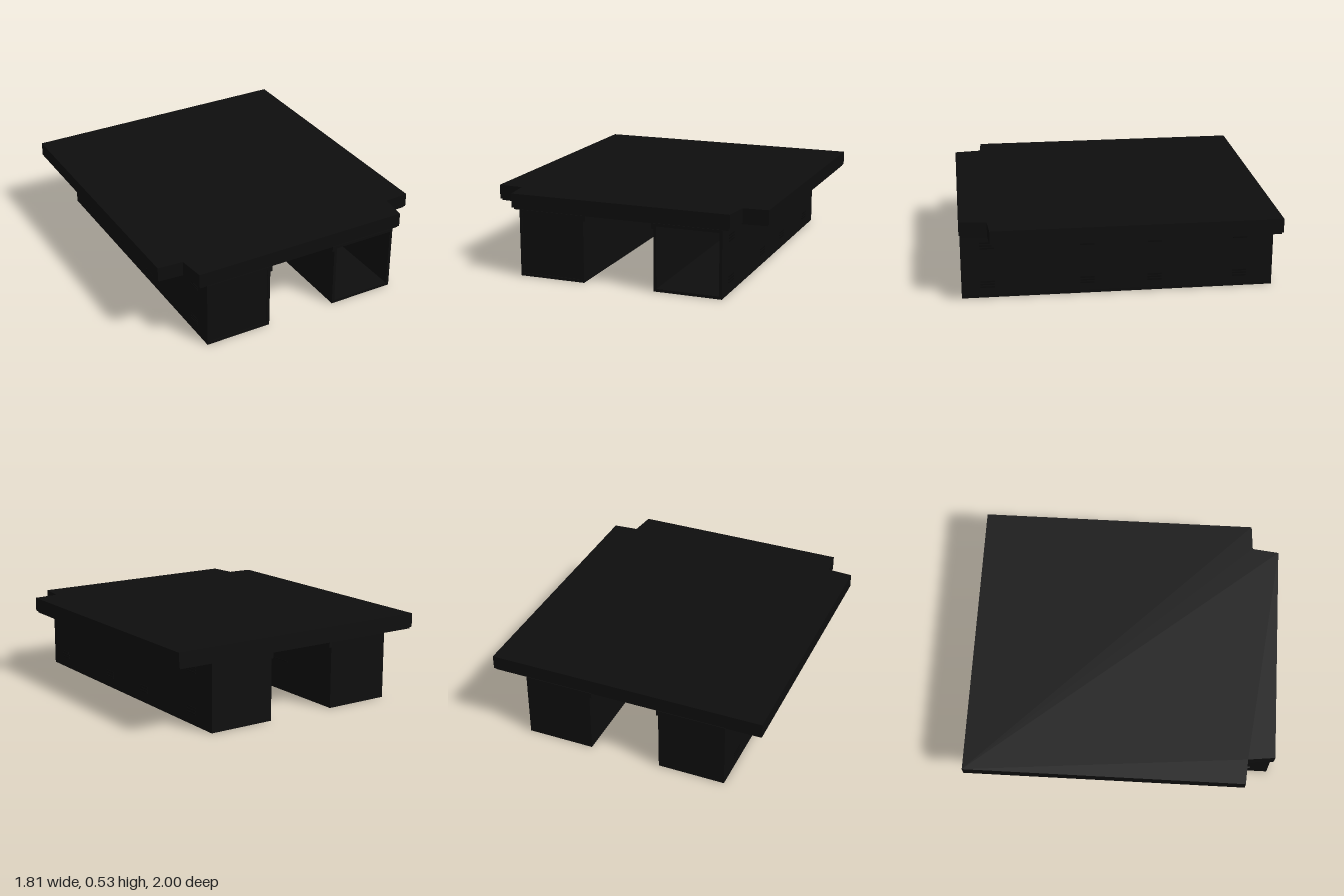
import * as THREE from 'three';

const black = new THREE.MeshStandardMaterial({ color: 0x0d0d0d });
black.name = 'black';
const darkBlack = new THREE.MeshStandardMaterial({ color: 0x090909 });
darkBlack.name = 'darkBlack';

// Box given by its lower and upper corners
function box(parent, name, [x0, y0, z0], [x1, y1, z1], material = black) {
  const mesh = new THREE.Mesh(new THREE.BoxGeometry(x1 - x0, y1 - y0, z1 - z0), material);
  mesh.position.set((x0 + x1) / 2, (y0 + y1) / 2, (z0 + z1) / 2);
  mesh.name = name;
  parent.add(mesh);
}

// Horizontal slab with a narrower, tapered front tongue
function slab(parent, name, y0, y1, inset) {
  const right = [[0.905, -1], [0.905, 0.815], [0.742, 0.826], [0.722, 1]]
    .map(([x, z]) => [x - inset, z < 0 ? z + inset : z - inset]);
  const left = right.map(([x, z]) => [-x, z]).reverse();
  const shape = new THREE.Shape([...right, ...left].map(([x, z]) => new THREE.Vector2(x, -z)));
  const geometry = new THREE.ExtrudeGeometry(shape, { depth: y1 - y0, bevelEnabled: false });
  geometry.rotateX(-Math.PI / 2);
  const mesh = new THREE.Mesh(geometry, black);
  mesh.position.y = y0;
  mesh.name = name;
  parent.add(mesh);
}

// Hollow pedestal made from panels, with hinges on the outer side
function pedestal(name, x0, x1, side, closed) {
  const group = new THREE.Group();
  group.name = name;
  const t = 0.018, top = 0.43, front = 0.995, back = -0.995;
  box(group, 'floorPanel', [x0, 0, back], [x1, t, front]);
  box(group, 'ceilingPanel', [x0 + t, top - t, back + t], [x1 - t, top, front]);
  box(group, 'sidePanel', [x0, t, back], [x0 + t, top, front]);
  box(group, 'sidePanel', [x1 - t, t, back], [x1, top, front]);
  box(group, 'backPanel', [x0 + t, t, back], [x1 - t, top, back + t]);
  if (closed) box(group, 'frontDoor', [x0 + t, t, front - 0.025], [x1 - t, top - t, front - 0.006]);

  // Hinges, each made of three thin leaves
  const outer = side > 0 ? x1 : x0;
  for (const z of [0.83, 0.2, -0.23, -0.78])
    for (const y of [0.09, 0.35])
      for (const dy of [-0.018, 0, 0.018])
        box(group, 'hingeLeaf', [outer - 0.004, y + dy - 0.004, z - 0.045],
          [outer + 0.004, y + dy + 0.004, z + 0.045], darkBlack);

  // Rail under the top, along the inner side
  const inner = side > 0 ? x0 : x1;
  const railEnd = inner - side * 0.014;
  box(group, 'innerRail', [Math.min(inner, railEnd), 0.395, back], [Math.max(inner, railEnd), 0.43, front]);
  return group;
}

export function createModel() {
  const model = new THREE.Group();
  model.name = 'desk';

  slab(model, 'deskTop', 0.44, 0.53, 0);
  slab(model, 'deskTopUnderside', 0.428, 0.44, 0.01);

  model.add(pedestal('leftPedestal', 0.235, 0.675, 1, false));
  model.add(pedestal('rightPedestal', -0.67, -0.232, -1, true));

  // Lock and pull on the inner face of the right pedestal
  box(model, 'lock', [-0.234, 0.29, -0.575], [-0.228, 0.32, -0.56], darkBlack);
  box(model, 'pull', [-0.234, 0.2, -0.55], [-0.228, 0.208, -0.15], darkBlack);
  return model;
}
